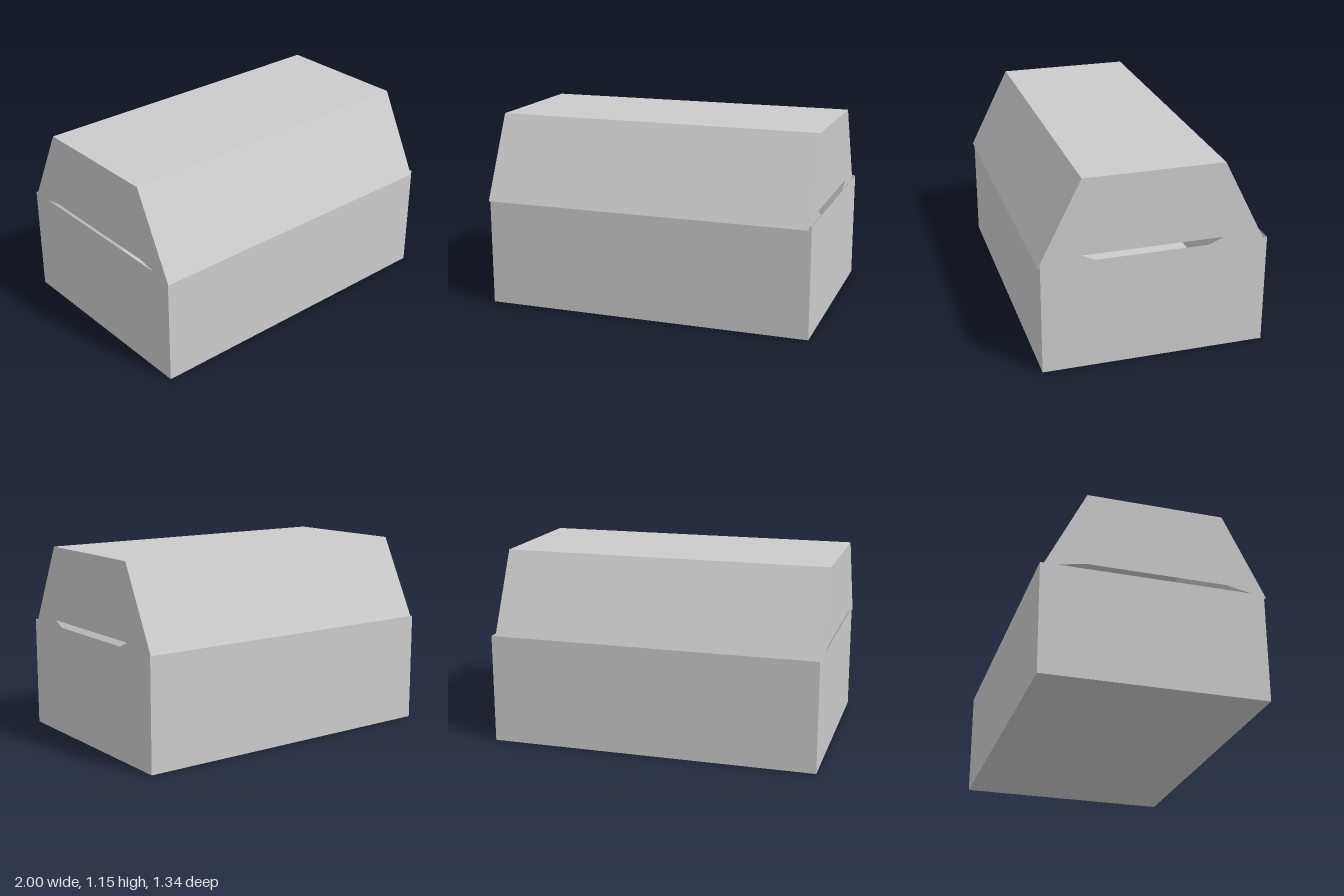
import * as THREE from 'three';

const material = new THREE.MeshStandardMaterial({
  color: 0xcccccc, flatShading: true, side: THREE.DoubleSide,
});

function addMesh(group, name, geometry) {
  const mesh = new THREE.Mesh(geometry, material);
  mesh.name = name;
  group.add(mesh);
}

// Thin panel stretched along x between two [z, y] edge points
function longPanel(group, name, xMin, xMax, [z0, y0], [z1, y1]) {
  const g = new THREE.BufferGeometry();
  g.setAttribute('position', new THREE.Float32BufferAttribute([
    xMin, y0, z0, xMax, y0, z0, xMax, y1, z1, xMin, y1, z1,
  ], 3));
  g.setIndex([0, 1, 2, 0, 2, 3]);
  g.computeVertexNormals();
  addMesh(group, name, g);
}

// Thin upright panel across the end, outlined by [z, y] points
function endPanel(group, name, x, outline) {
  const shape = new THREE.Shape(outline.map(([z, y]) => new THREE.Vector2(-z, y)));
  const g = new THREE.ShapeGeometry(shape);
  g.rotateY(x > 0 ? Math.PI / 2 : Math.PI / 2);
  g.translate(x, 0, 0);
  if (x < 0) {
    // Turn the left end to face outwards
    const i = g.index.array;
    for (let k = 0; k < i.length; k += 3) [i[k], i[k + 1]] = [i[k + 1], i[k]];
    g.computeVertexNormals();
  }
  addMesh(group, name, g);
}

export function createModel() {
  const model = new THREE.Group();
  model.name = 'chest';

  // Open-topped base
  const base = new THREE.Group();
  base.name = 'base';
  const F = 0.66, B = -0.67, H = 0.667, L = -0.995, R = 1;
  longPanel(base, 'baseFront', L, R, [F, 0], [F, H]);
  longPanel(base, 'baseFloor', L, R, [B, 0], [F, 0]);
  longPanel(base, 'baseBack', L, R, [B, H], [B, 0]);
  const side = [[F, 0], [B, 0], [B, H], [F, H]];
  endPanel(base, 'baseRightEnd', R, side);
  endPanel(base, 'baseLeftEnd', L, side);

  // Hollow lid with two sloping sides and a flat top
  const lid = new THREE.Group();
  lid.name = 'lid';
  const lidL = -1, lidR = 0.983;
  const front = [0.67, 0.648], frontTop = [0.418, 1.15];
  const backTop = [-0.405, 1.15], back = [-0.657, 0.648];
  longPanel(lid, 'lidFrontSlope', lidL, lidR, front, frontTop);
  longPanel(lid, 'lidTop', lidL, lidR, frontTop, backTop);
  longPanel(lid, 'lidBackSlope', lidL, lidR, backTop, back);

  // End panels, each with a gap along the lower edge
  const arch = [front, frontTop, backTop, back].reverse();
  const gap = [[0.42, 0.695], [-0.41, 0.695]];
  endPanel(lid, 'lidLeftEnd', lidL, [...arch, ...gap]);
  endPanel(lid, 'lidRightEnd', lidR,
    [...arch, [0.325, 0.648], ...gap, [-0.305, 0.648]]);

  model.add(base, lid);
  return model;
}
